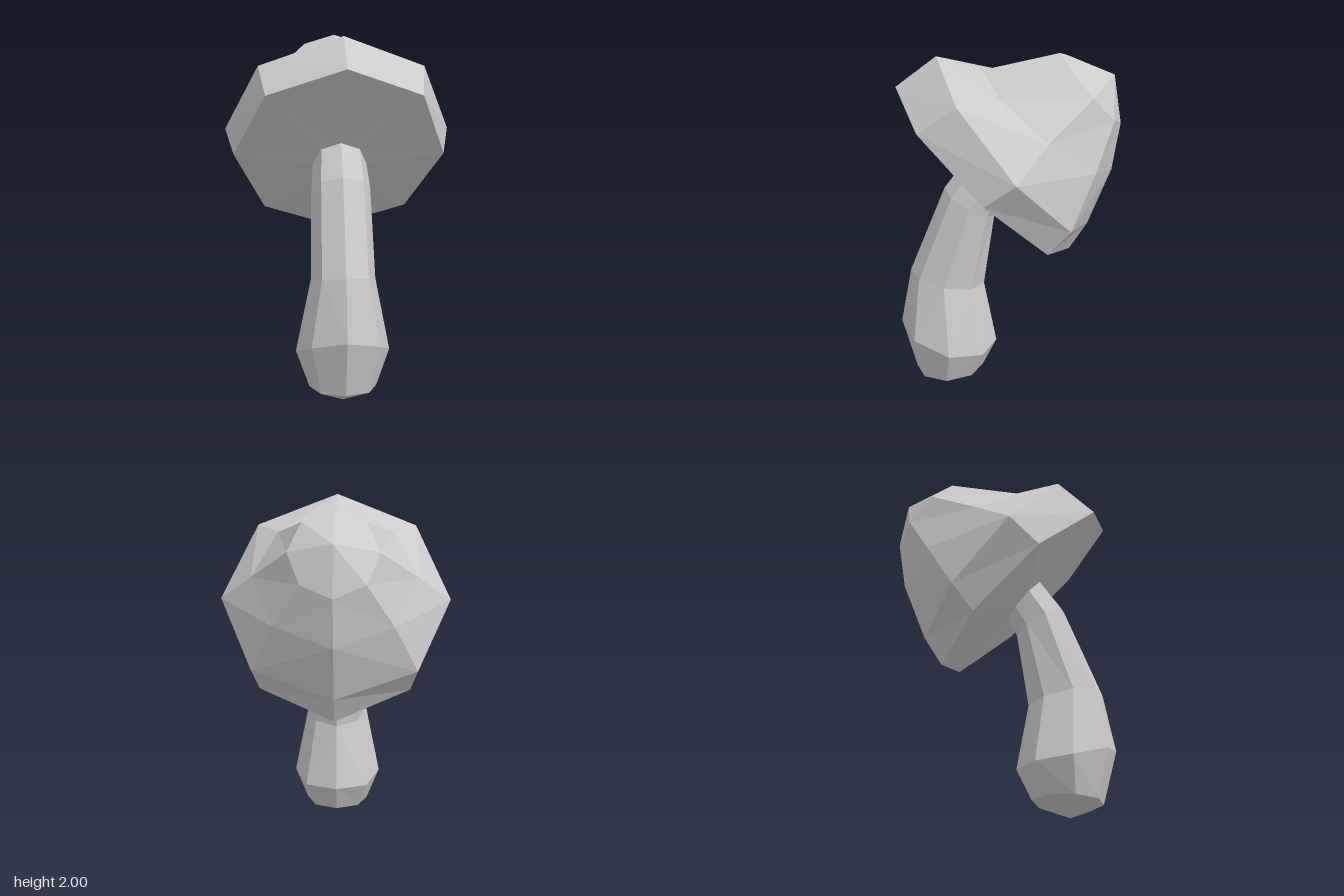
import * as THREE from 'three';

const SIDES = 8;

// A bent octagonal ring given by its front, side and back points as [z, y], and its half width in x.
function ring(front, side, back, width) {
  return Array.from({ length: SIDES }, (_, k) => {
    const a = (k / SIDES) * Math.PI * 2;
    const c = Math.cos(a);
    const at = (i) => side[i] + (c * (front[i] - back[i])) / 2 + c * c * ((front[i] + back[i]) / 2 - side[i]);
    return new THREE.Vector3(width * Math.sin(a), at(1), at(0));
  });
}

const pole = (p) => ring(p, p, p, 0);

// Skin a list of rings, with diagonals mirrored left to right.
function loft(name, rings) {
  const pos = [];
  const tri = (a, b, c) => {
    if (a.distanceTo(b) < 1e-5 || b.distanceTo(c) < 1e-5 || c.distanceTo(a) < 1e-5) return;
    for (const v of [a, b, c]) pos.push(v.x, v.y, v.z);
  };
  for (let i = 0; i < rings.length - 1; i++) {
    for (let k = 0; k < SIDES; k++) {
      const n = (k + 1) % SIDES;
      const a = rings[i][k], b = rings[i][n], c = rings[i + 1][n], d = rings[i + 1][k];
      if (k < SIDES / 2) {
        tri(a, b, c);
        tri(a, c, d);
      } else {
        tri(a, b, d);
        tri(b, c, d);
      }
    }
  }
  const geometry = new THREE.BufferGeometry();
  geometry.setAttribute('position', new THREE.Float32BufferAttribute(pos, 3));
  geometry.computeVertexNormals();
  const mesh = new THREE.Mesh(geometry, new THREE.MeshStandardMaterial({ color: 0xcccccc, flatShading: true }));
  mesh.name = name;
  return mesh;
}

export function createModel() {
  const group = new THREE.Group();
  group.name = 'mushroom';

  // Where the stem meets the underside of the cap
  const neck = ring([0.217, 1.406], [0.12, 1.285], [0.016, 1.167], 0.15);
  const rim = ring([0.605, 1.81], [0.11, 1.338], [-0.36, 0.86], 0.587);

  // Curved stem with a bulbous foot
  group.add(loft('stem', [
    pole([0.355, 0]),
    ring([0.54, 0.08], [0.35, 0.078], [0.143, 0.095], 0.185),
    ring([0.622, 0.387], [0.33, 0.276], [0.062, 0.26], 0.258),
    ring([0.557, 0.72], [0.355, 0.68], [0.133, 0.637], 0.176),
    ring([0.35, 1.23], [0.205, 1.15], [0.07, 1.067], 0.163),
    neck,
  ]));

  // Slightly bulging underside
  group.add(loft('capUnderside', [neck, rim]));

  // Tilted cap: brim, waist, crown and tip
  group.add(loft('cap', [
    rim,
    ring([0.38, 1.98], [-0.058, 1.47], [-0.46, 1.02], 0.635),
    ring([0.13, 1.905], [-0.22, 1.63], [-0.585, 1.342], 0.45),
    ring([-0.287, 2.0], [-0.457, 1.815], [-0.626, 1.613], 0.24),
    pole([-0.583, 1.883]),
  ]));

  return group;
}
